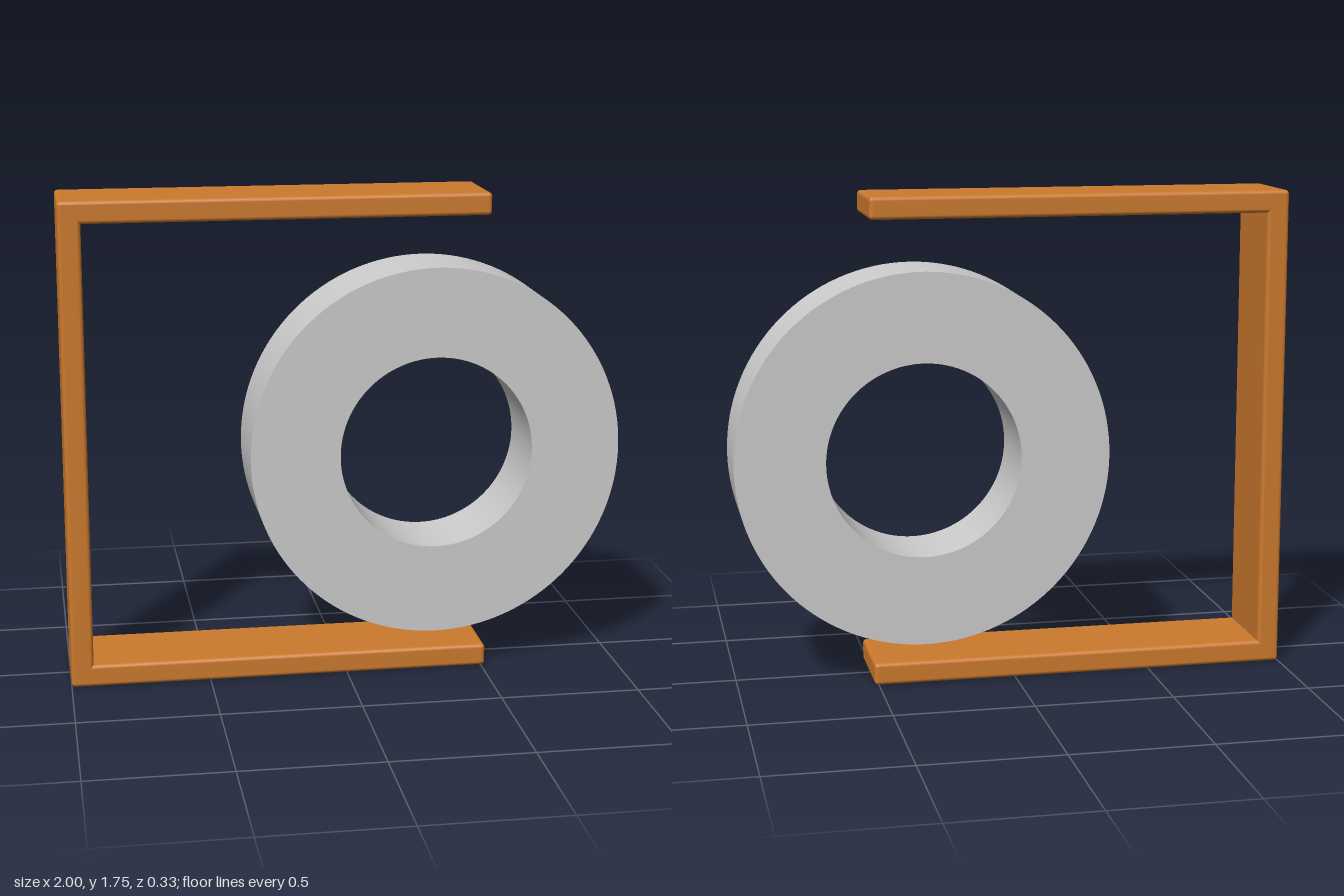
import * as THREE from 'three';
import { toCreasedNormals } from 'three/addons/utils/BufferGeometryUtils.js';
import { RoundedBoxGeometry } from 'three/addons/geometries/RoundedBoxGeometry.js';

const orange = new THREE.MeshStandardMaterial({ name: 'orange', color: 0xcc7a2d });
const grey = new THREE.MeshStandardMaterial({ name: 'light grey', color: 0xcccccc });

const HEIGHT = 1.75, THICK = 0.08, DEPTH = 0.33, LEFT = -1, ARM_END = 0.515;

// Softly rounded bar spanning x0..x1 and y0..y1, centred on z = 0
function bar(name, x0, x1, y0, y1) {
  const geometry = new RoundedBoxGeometry(x1 - x0, y1 - y0, DEPTH, 3, 0.014);
  const mesh = new THREE.Mesh(geometry, orange);
  mesh.name = name;
  mesh.position.set((x0 + x1) / 2, (y0 + y1) / 2, 0);
  return mesh;
}

export function createModel() {
  const model = new THREE.Group();
  model.name = 'bracketAndRing';

  // C-shaped bracket
  const bracket = new THREE.Group();
  bracket.name = 'bracket';
  bracket.add(
    bar('backWall', LEFT, LEFT + THICK, 0, HEIGHT),
    bar('lowerArm', LEFT, ARM_END, 0, THICK),
    bar('upperArm', LEFT, ARM_END, HEIGHT - THICK, HEIGHT),
  );
  model.add(bracket);

  // Thick flat ring with a round bore
  const outline = new THREE.Shape().absarc(0, 0, 0.673, 0, Math.PI * 2, false);
  outline.holes.push(new THREE.Path().absarc(0, 0, 0.35, 0, Math.PI * 2, true));
  const ringDepth = 0.314;
  const ringGeometry = new THREE.ExtrudeGeometry(outline, {
    depth: ringDepth, bevelEnabled: false, curveSegments: 64,
  });
  ringGeometry.translate(0, 0, -ringDepth / 2);
  const ring = new THREE.Mesh(toCreasedNormals(ringGeometry, 0.6), grey);
  ring.name = 'ring';
  ring.position.set(0.327, 0.815, 0);
  model.add(ring);

  return model;
}
